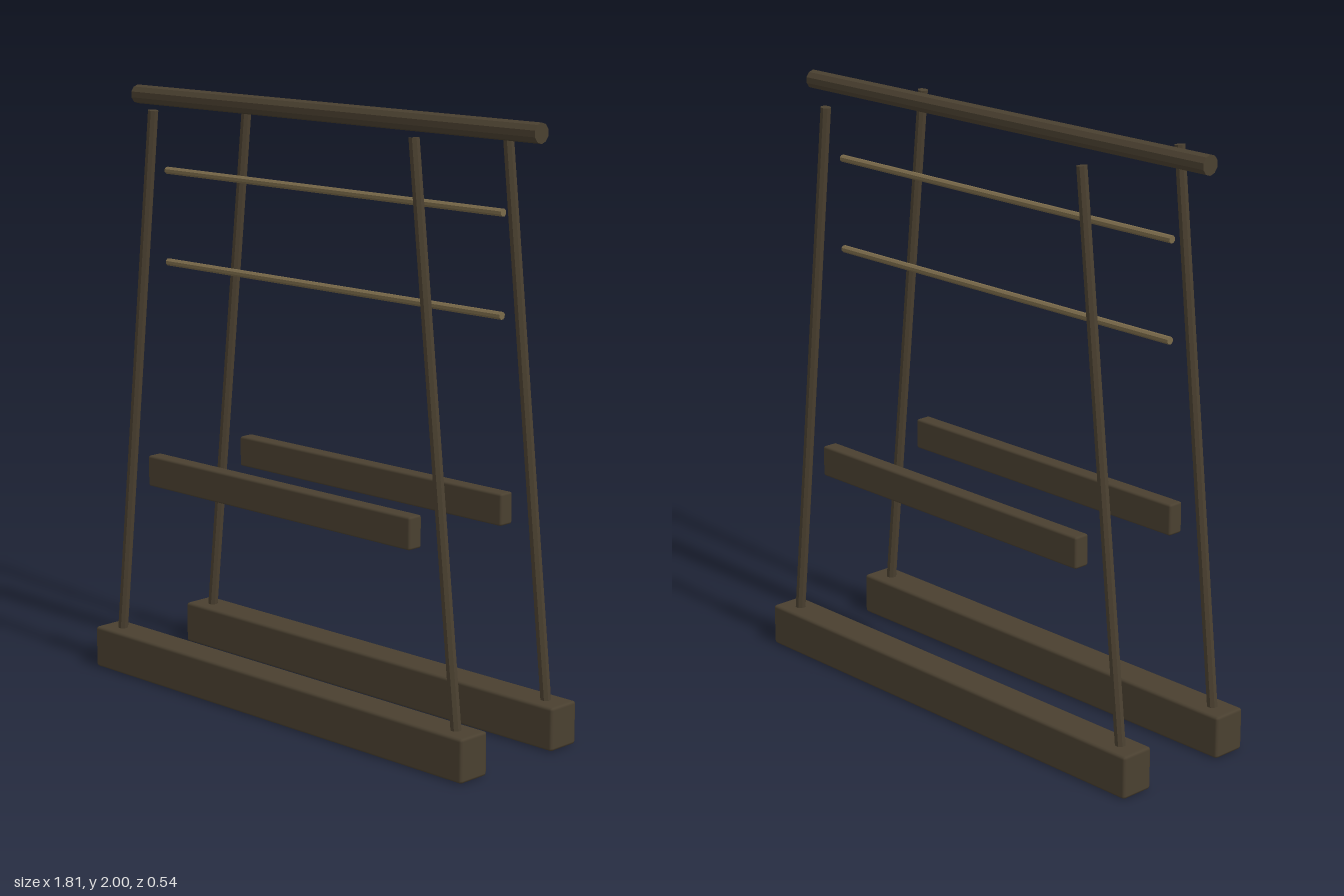
import * as THREE from 'three';
import { RoundedBoxGeometry } from 'three/addons/geometries/RoundedBoxGeometry.js';

export function createModel() {
  const model = new THREE.Group();
  model.name = 'frame';
  const darkWood = new THREE.MeshStandardMaterial({ color: 0x4a4030 });
  darkWood.name = 'dark wood';
  const paleWood = new THREE.MeshStandardMaterial({ color: 0x7a6a4a });
  paleWood.name = 'pale wood';

  const add = (name, geometry, material, x, y, z) => {
    const mesh = new THREE.Mesh(geometry, material);
    mesh.name = name;
    mesh.position.set(x, y, z);
    model.add(mesh);
    return mesh;
  };

  // faceted pole, standing along y
  const pole = (radius, length, sides) => {
    const g = new THREE.CylinderGeometry(radius, radius, length, sides).toNonIndexed();
    g.rotateY(Math.PI / sides);
    g.computeVertexNormals();
    return g;
  };

  // top beam and the two thin rods, lying along x
  add('topBeam', pole(0.032, 1.81, 10).rotateZ(Math.PI / 2), darkWood, 0, 1.97, 0);
  for (const [name, y] of [['upperRod', 1.72], ['lowerRod', 1.405]]) {
    add(name, pole(0.0125, 1.52, 8).rotateZ(Math.PI / 2), paleWood, 0, y, 0);
  }

  // two side frames: base block, middle rail and a pair of leaning posts
  for (const [side, s] of [['front', 1], ['back', -1]]) {
    const z = 0.212 * s;
    add(side + 'Base', new RoundedBoxGeometry(1.714, 0.144, 0.12, 1, 0.01), darkWood, 0, 0.072, z);
    add(side + 'Rail', new RoundedBoxGeometry(1.21, 0.106, 0.056, 1, 0.008), darkWood, 0, 0.736, z);
    for (const [hand, h] of [['Left', 1], ['Right', -1]]) {
      const foot = new THREE.Vector2(0.785, 0.1), top = new THREE.Vector2(0.587, 1.95);
      const lean = Math.atan2(foot.x - top.x, top.y - foot.y);
      const post = add(side + hand + 'Post', pole(0.018, foot.distanceTo(top), 8), darkWood,
        h * (foot.x + top.x) / 2, (foot.y + top.y) / 2, z);
      post.rotation.z = h * lean;
    }
  }
  return model;
}
